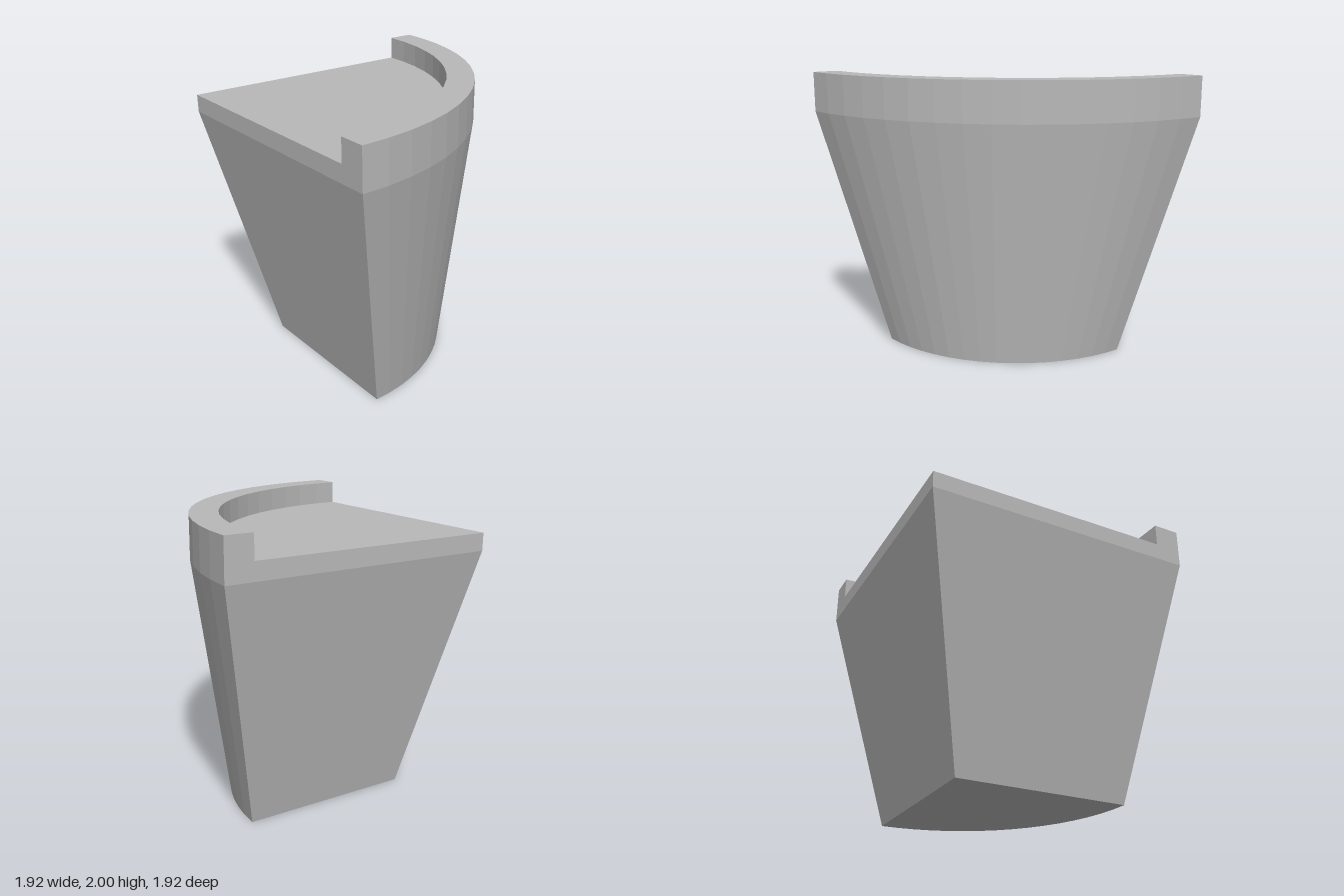
import * as THREE from 'three';

const RADIUS = 1.92, INNER = 1.73, BASE = 1.2, SEGMENTS = 16;
const CORNER = -RADIUS / 2;

// Points of a quarter arc around the back corner, as shape points (x, -z)
function arc(r) {
  return Array.from({ length: SEGMENTS + 1 }, (_, i) => {
    const a = (i / SEGMENTS) * Math.PI / 2;
    return new THREE.Vector2(CORNER + r * Math.cos(a), -(CORNER + r * Math.sin(a)));
  });
}

// Upright prism of an outline between two heights
function prism(points, y0, y1) {
  const g = new THREE.ExtrudeGeometry(new THREE.Shape(points), { depth: y1 - y0, bevelEnabled: false });
  return g.rotateX(-Math.PI / 2).translate(0, y0, 0);
}

export function createModel() {
  const group = new THREE.Group();
  const grey = new THREE.MeshStandardMaterial({ color: 0xb8b8b8, flatShading: true });
  grey.name = 'plain grey';

  const add = (name, geometry) => {
    const mesh = new THREE.Mesh(geometry, grey);
    mesh.name = name;
    group.add(mesh);
  };

  const sector = [new THREE.Vector2(CORNER, -CORNER), ...arc(RADIUS)];

  // Body: quarter disc narrowing evenly towards the foot
  const body = prism(sector, 0, 1.72);
  const pos = body.attributes.position;
  for (let i = 0; i < pos.count; i++) {
    const s = THREE.MathUtils.lerp(BASE / RADIUS, 1, pos.getY(i) / 1.72);
    pos.setX(i, pos.getX(i) * s);
    pos.setZ(i, pos.getZ(i) * s);
  }
  body.computeVertexNormals();
  add('taperedBody', body);

  // Straight band carrying the flat top surface
  add('topSlab', prism(sector, 1.72, 1.84));

  // Raised rim along the curved side only
  add('curvedRim', prism([...arc(RADIUS), ...arc(INNER).reverse()], 1.84, 2));

  return group;
}
